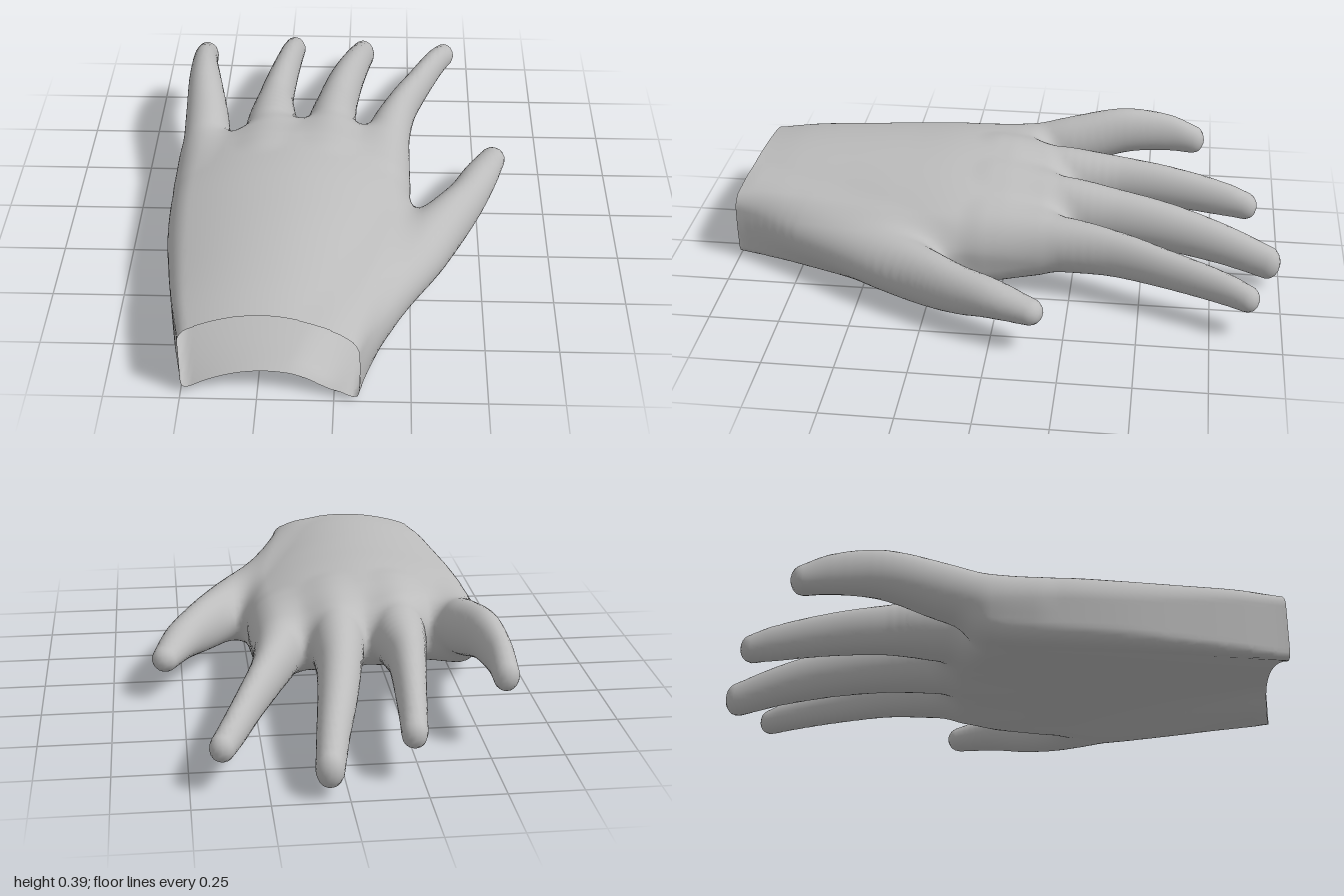
import * as THREE from 'three';

const { lerp, clamp } = THREE.MathUtils;
const STEP = 0.0175;
const MIN = [-0.7, -0.07, -1.06], COUNT = [81, 30, 122];

// Palm stations from fingers to wrist: z, left edge, right edge, top, drop of top at edges, bottom, bottom arch, corner radius
const PALM = [
  [-0.24, -0.57, 0.215, 0.275, 0.04, 0.09, 0.02, 0.07],
  [-0.12, -0.585, 0.23, 0.315, 0.075, 0.045, 0.03, 0.08],
  [0.0, -0.595, 0.24, 0.347, 0.1, 0.012, 0.045, 0.08],
  [0.2, -0.605, 0.25, 0.36, 0.11, -0.005, 0.053, 0.08],
  [0.4, -0.597, 0.235, 0.353, 0.11, -0.01, 0.057, 0.075],
  [0.6, -0.57, 0.18, 0.342, 0.1, -0.01, 0.06, 0.06],
  [0.8, -0.535, 0.125, 0.327, 0.08, -0.008, 0.065, 0.045],
  [1.0, -0.495, 0.08, 0.303, 0.062, -0.006, 0.076, 0.03],
];

// Finger stations from root to tip: x, y, z, half width, half height
const FINGERS = {
  thumb: [
    [0.0, 0.125, 0.92, 0.06, 0.085], [0.1, 0.127, 0.7, 0.105, 0.1], [0.24, 0.128, 0.45, 0.114, 0.108],
    [0.37, 0.13, 0.25, 0.086, 0.105], [0.447, 0.135, 0.12, 0.07, 0.09],
    [0.502, 0.144, 0, 0.064, 0.071], [0.559, 0.137, -0.139, 0.048, 0.047],
  ],
  indexFinger: [
    [0.13, 0.16, 0.05, 0.1, 0.11], [0.162, 0.17, -0.2, 0.086, 0.105], [0.213, 0.175, -0.4, 0.062, 0.088],
    [0.285, 0.165, -0.6, 0.05, 0.072], [0.36, 0.147, -0.8, 0.044, 0.058], [0.393, 0.135, -0.873, 0.042, 0.048],
  ],
  middleFinger: [
    [-0.06, 0.19, 0.05, 0.1, 0.13], [-0.05, 0.195, -0.2, 0.097, 0.125], [-0.033, 0.185, -0.4, 0.078, 0.105],
    [-0.004, 0.165, -0.6, 0.067, 0.092], [0.033, 0.128, -0.8, 0.055, 0.076], [0.06, 0.083, -0.953, 0.047, 0.063],
  ],
  ringFinger: [
    [-0.28, 0.2, 0.05, 0.1, 0.13], [-0.272, 0.21, -0.2, 0.097, 0.115], [-0.268, 0.21, -0.4, 0.068, 0.092],
    [-0.248, 0.2, -0.6, 0.055, 0.08], [-0.227, 0.172, -0.8, 0.046, 0.065], [-0.219, 0.155, -0.873, 0.043, 0.052],
  ],
  littleFinger: [
    [-0.49, 0.165, 0.1, 0.095, 0.1], [-0.505, 0.19, -0.05, 0.09, 0.105], [-0.513, 0.235, -0.2, 0.083, 0.102],
    [-0.538, 0.284, -0.4, 0.064, 0.09], [-0.555, 0.275, -0.57, 0.048, 0.074], [-0.557, 0.25, -0.667, 0.044, 0.055],
  ],
};

// Smooth interpolation between palm stations
function palmAt(z) {
  let i = 0;
  while (i < PALM.length - 2 && z > PALM[i + 1][0]) i++;
  const a = PALM[i], b = PALM[i + 1];
  const before = PALM[Math.max(i - 1, 0)], after = PALM[Math.min(i + 2, PALM.length - 1)];
  const t = clamp((z - a[0]) / (b[0] - a[0]), 0, 1);
  return a.map((v, k) => v + 0.5 * t * (b[k] - before[k] + t * (2 * before[k] - 5 * v + 4 * b[k] - after[k]
    + t * (3 * (v - b[k]) + after[k] - before[k]))));
}

// Palm: an arched, rounded slab with a slanted knuckle line, sloping to the thumb, open-ended past the wrist
function palmDistance(x, y, z) {
  const [, left, right, top, drop, bottom, arch, r] = palmAt(z);
  const half = (right - left) / 2, dx = x - (left + right) / 2;
  const u2 = Math.min((dx / half) ** 2, 1.2);
  const hi = top - drop * u2 * (dx > 0 ? 1.2 : 1), lo = bottom + arch * (1 - u2);
  const qx = Math.abs(dx) - half + r;
  const qy = Math.abs(y - (hi + lo) / 2) - (hi - lo) / 2 + r;
  const qz = -0.12 - 0.09 * clamp((x + 0.4) / 0.22, 0, 1) - z + r;
  return Math.hypot(Math.max(qx, 0), Math.max(qy, 0), Math.max(qz, 0)) + Math.min(Math.max(qx, qy, qz), 0) - r;
}

// Finger: a tapering oval tube along a smooth curve, measured in the oval's own proportions
function fingerDistance(stations) {
  const path = new THREE.CatmullRomCurve3(stations.map((s) => new THREE.Vector3(s[0], s[1], s[2])));
  const size = new THREE.CatmullRomCurve3(stations.map((s) => new THREE.Vector3(s[3], s[4], 0)));
  const n = (stations.length - 1) * 6, p = [], s = [];
  for (let i = 0; i <= n; i++) {
    p.push(path.getPoint(i / n));
    s.push(size.getPoint(i / n));
  }
  return (x, y, z) => {
    let best = Infinity;
    for (let i = 0; i < n; i++) {
      const a = p[i], b = p[i + 1];
      const ex = b.x - a.x, ey = b.y - a.y, ez = b.z - a.z;
      const squash = ((s[i].x + s[i + 1].x) / (s[i].y + s[i + 1].y)) ** 2;
      const along = (x - a.x) * ex + (y - a.y) * ey * squash + (z - a.z) * ez;
      const t = clamp(along / (ex * ex + ey * ey * squash + ez * ez), 0, 1);
      const w = lerp(s[i].x, s[i + 1].x, t), h = lerp(s[i].y, s[i + 1].y, t);
      const dx = (x - a.x - ex * t) / w, dy = (y - a.y - ey * t) / h, dz = (z - a.z - ez * t) / w;
      const d = (Math.sqrt(dx * dx + dy * dy + dz * dz) - 1) * Math.min(w, h);
      if (d < best) best = d;
    }
    return best;
  };
}

const names = ['palm', ...Object.keys(FINGERS)];
const parts = [palmDistance, ...Object.values(FINGERS).map(fingerDistance)];

// All parts blended with soft webs between them, widest at the thumb
function skin(x, y, z) {
  let d = Infinity;
  parts.forEach((part, n) => {
    const e = part(x, y, z), blend = n === 1 ? 0.1 : 0.055;
    const k = Math.max(blend - Math.abs(d - e), 0);
    d = Math.min(d, e) - (k * k) / (4 * blend);
  });
  return d;
}

function gradient([x, y, z], e = 0.01) {
  return new THREE.Vector3(
    skin(x + e, y, z) - skin(x - e, y, z),
    skin(x, y + e, z) - skin(x, y - e, z),
    skin(x, y, z + e) - skin(x, y, z - e),
  ).divideScalar(2 * e);
}

// Curved line of the open wrist
const wristZ = (x) => 0.952 + 0.06 * (x + 0.2) + 0.394 * (x + 0.2) ** 2;

export function createModel() {
  const [nx, ny, nz] = COUNT, stride = [1, nx, nx * ny];
  const field = new Float32Array(nx * ny * nz);
  const at = (i, j, k) => i + nx * (j + ny * k);
  const eachCell = (first, visit) => {
    for (let k = first; k < nz - 1; k++)
      for (let j = first; j < ny - 1; j++)
        for (let i = first; i < nx - 1; i++) visit(at(i, j, k), [i, j, k]);
  };
  for (let k = 0; k < nz; k++)
    for (let j = 0; j < ny; j++)
      for (let i = 0; i < nx; i++)
        field[at(i, j, k)] = skin(MIN[0] + i * STEP, MIN[1] + j * STEP, MIN[2] + k * STEP);

  // One skin point in every cell the surface passes through
  const positions = [], normals = [], owner = [], beyond = [], vertexOf = new Map();
  eachCell(0, (c, cell) => {
    const sum = [0, 0, 0];
    let hits = 0;
    for (let corner = 0; corner < 8; corner++) {
      for (let axis = 0; axis < 3; axis++) {
        if (corner & (1 << axis)) continue;
        const bits = [corner & 1, (corner >> 1) & 1, corner >> 2];
        const o = c + bits[0] * stride[0] + bits[1] * stride[1] + bits[2] * stride[2];
        const a = field[o], b = field[o + stride[axis]];
        if (a < 0 === b < 0) continue;
        bits[axis] = a / (a - b);
        bits.forEach((v, n) => { sum[n] += v; });
        hits++;
      }
    }
    if (!hits) return;
    const p = sum.map((v, n) => MIN[n] + (cell[n] + v / hits) * STEP);
    const g = gradient(p);
    const move = clamp(skin(...p) / Math.max(g.lengthSq(), 0.2), -0.008, 0.008);
    g.toArray().forEach((v, n) => { p[n] -= v * move; });
    const normal = gradient(p).normalize();
    const distances = parts.map((part) => part(...p));
    const cut = wristZ(p[0]);
    vertexOf.set(c, owner.length);
    owner.push(distances.indexOf(Math.min(...distances)));
    beyond.push(p[2] >= cut);
    p[2] = Math.min(p[2], cut);
    positions.push(...p);
    normals.push(...normal.toArray());
  });

  // Join neighbouring points, leaving the wrist open
  const faces = names.map(() => []);
  eachCell(1, (c) => {
    for (let axis = 0; axis < 3; axis++) {
      const inside = field[c] < 0;
      if (inside === field[c + stride[axis]] < 0) continue;
      const b = stride[(axis + 1) % 3], d = stride[(axis + 2) % 3];
      const q = [c, c - b, c - b - d, c - d].map((v) => vertexOf.get(v));
      if (q.some((v) => v === undefined) || q.every((v) => beyond[v])) continue;
      if (!inside) q.reverse();
      faces[owner[q[0]]].push(q[0], q[1], q[2], q[0], q[2], q[3]);
    }
  });

  const grey = new THREE.MeshStandardMaterial({ color: 0xbcbcbc, side: THREE.DoubleSide });
  grey.name = 'plain grey';
  const position = new THREE.Float32BufferAttribute(positions, 3);
  const normal = new THREE.Float32BufferAttribute(normals, 3);
  const hand = new THREE.Group();
  hand.name = 'hand';
  names.forEach((name, n) => {
    const geometry = new THREE.BufferGeometry();
    geometry.setAttribute('position', position);
    geometry.setAttribute('normal', normal);
    geometry.setIndex(faces[n]);
    const mesh = new THREE.Mesh(geometry, grey);
    mesh.name = name;
    hand.add(mesh);
  });
  return hand;
}
